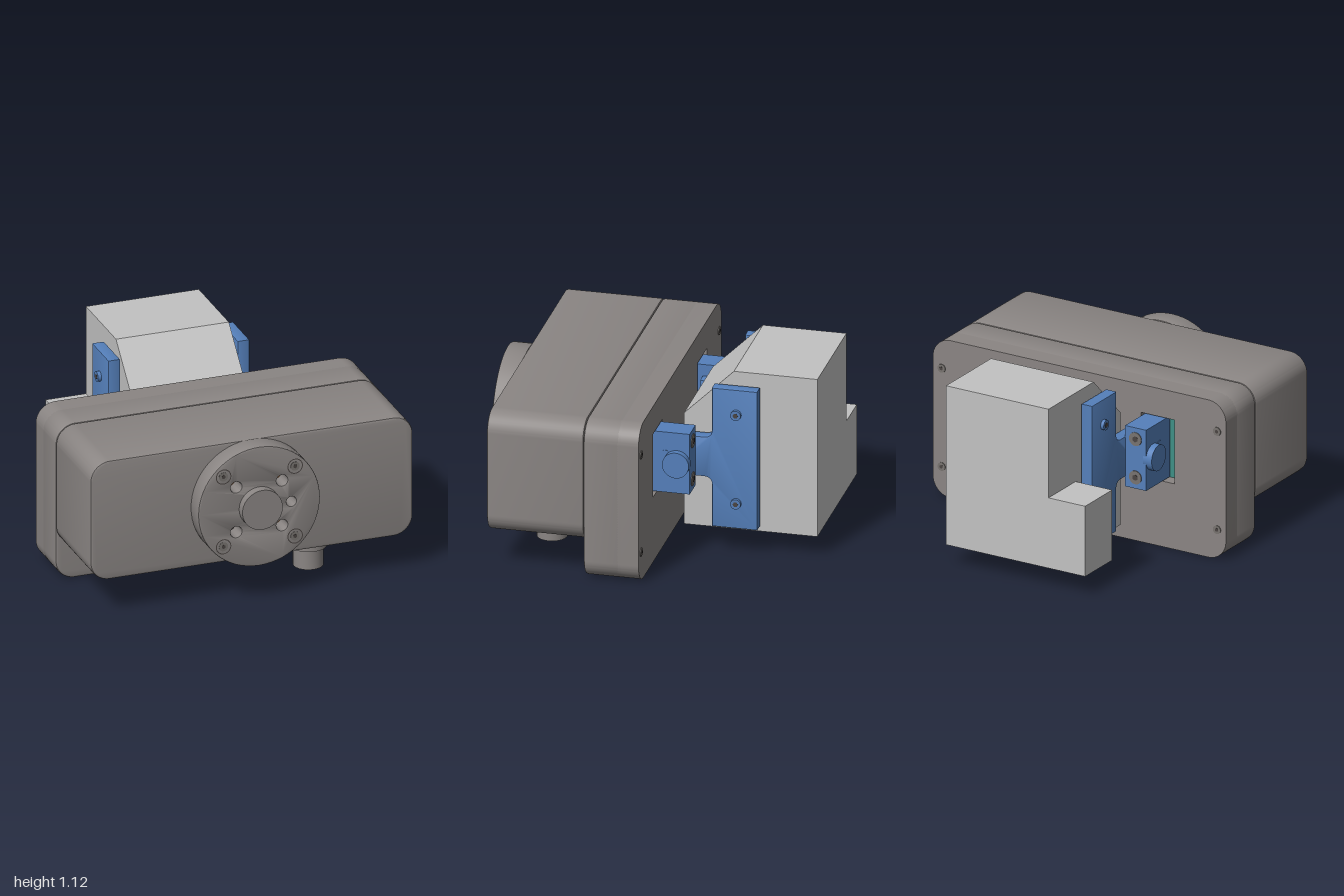
import * as THREE from 'three';
import { toCreasedNormals } from 'three/addons/utils/BufferGeometryUtils.js';

const mat = (name, color) => Object.assign(new THREE.MeshStandardMaterial({ color }), { name });
const M = {
  body: mat('warm grey housing', 0x8a8583),
  steel: mat('screw grey', 0x77736f),
  block: mat('light grey block', 0xc2c2c2),
  blue: mat('blue bracket', 0x5580bb),
  teal: mat('teal circuit', 0x3d8f86),
  orange: mat('copper', 0xc07434),
  dark: mat('dark bore', 0x4a4442),
};

export function createModel() {
  const root = new THREE.Group();
  root.name = 'actuatorAssembly';
  const add = (name, geo, material, x = 0, y = 0, z = 0) => {
    const m = new THREE.Mesh(geo, material);
    m.name = name;
    m.position.set(x, y, z);
    root.add(m);
    return m;
  };

  // Extrusion along z from z0 to z1 with a small bevel
  const extrude = (shape, z0, z1, bevel = 0, curveSegments = 12) => {
    const g = new THREE.ExtrudeGeometry(shape, {
      depth: z1 - z0 - 2 * bevel, curveSegments, bevelEnabled: bevel > 0,
      bevelSize: bevel, bevelThickness: bevel, bevelOffset: -bevel, bevelSegments: 2,
    });
    g.translate(0, 0, z0 + bevel);
    return toCreasedNormals(g, 0.6);
  };
  // Profile in (-z, y), extruded along x from x0 to x1
  const extrudeX = (pts, x0, x1, bevel = 0) => {
    const shape = pts instanceof THREE.Shape ? pts : new THREE.Shape(pts.map(p => new THREE.Vector2(...p)));
    return extrude(shape, x0, x1, bevel).rotateY(Math.PI / 2);
  };
  const roundedRect = (x0, y0, x1, y1, r) => {
    const s = new THREE.Shape();
    s.absarc(x1 - r, y0 + r, r, -Math.PI / 2, 0);
    s.absarc(x1 - r, y1 - r, r, 0, Math.PI / 2);
    s.absarc(x0 + r, y1 - r, r, Math.PI / 2, Math.PI);
    s.absarc(x0 + r, y0 + r, r, Math.PI, Math.PI * 1.5);
    s.closePath();
    return s;
  };
  const circleHole = (x, y, r) => new THREE.Path().absarc(x, y, r, 0, Math.PI * 2, true);
  const rectHole = (x0, y0, x1, y1) => new THREE.Path([[x0, y0], [x0, y1], [x1, y1], [x1, y0]]
    .map(p => new THREE.Vector2(...p))).closePath();
  // Cylinder centred on the origin along the given axis
  const cyl = (r, len, axis = 'y', seg = 32) => {
    const g = new THREE.CylinderGeometry(r, r, len, seg);
    if (axis === 'x') g.rotateZ(Math.PI / 2);
    if (axis === 'z') g.rotateX(Math.PI / 2);
    return g;
  };
  const box = (x0, x1, y0, y1, z0, z1) =>
    new THREE.BoxGeometry(x1 - x0, y1 - y0, z1 - z0).translate((x0 + x1) / 2, (y0 + y1) / 2, (z0 + z1) / 2);
  // Ring with a dark socket, laid on a face whose outward axis is x or z
  const screw = (name, x, y, z, axis, sign, r, material) => {
    const off = axis === 'x' ? [sign * 0.004, 0] : [0, sign * 0.004];
    add(name, cyl(r, 0.008, axis, 24), material, x, y, z);
    add(name + 'Socket', cyl(r * 0.45, 0.004, axis, 6), M.dark, x + off[0], y, z + off[1]);
  };

  // Housing: front case, and rear plate with two windows
  add('frontCase', extrude(roundedRect(-1, 0.23, 1, 0.985, 0.12), 0.24, 0.82, 0.014), M.body);
  const rear = roundedRect(-1, 0, 1, 0.985, 0.12);
  for (const s of [-1, 1]) {
    rear.holes.push(rectHole(Math.min(s * 0.42, s * 0.65), 0.41, Math.max(s * 0.42, s * 0.65), 0.81));
  }
  add('rearPlate', extrude(rear, -0.09, 0.02), M.body);
  add('rearPlateRim', extrude(roundedRect(-1, 0, 1, 0.985, 0.12), 0.02, 0.24, 0.014), M.body);
  add('rearPlateJoint', extrude(roundedRect(-1, 0, 1, 0.985, 0.12), 0.018, 0.04), M.body);
  for (const x of [-0.94, 0.94]) for (const y of [0.185, 0.8]) {
    screw('rearScrew', x, y, -0.091, 'z', -1, 0.026, M.steel);
  }

  // Output flange with open bolt holes
  const cy = 0.61;
  const disc = new THREE.Shape().absarc(0, cy, 0.378, 0, Math.PI * 2);
  const corners = [[-1, -1], [1, -1], [-1, 1], [1, 1]];
  for (const [a, b] of corners) disc.holes.push(circleHole(a * 0.142, cy + b * 0.142, 0.034));
  disc.holes.push(circleHole(0.2, cy, 0.03));
  add('flange', extrude(disc, 0.815, 0.945, 0.008, 32), M.body);
  add('flangeHub', cyl(0.125, 0.07, 'z', 48), M.body, 0, cy, 0.965);
  for (const [a, b] of corners) {
    const floor = a < 0 && b < 0 ? M.dark : M.orange;
    add('boltHoleFloor', cyl(0.036, 0.006, 'z', 24), floor, a * 0.142, cy + b * 0.142, 0.83);
    const x = a * 0.222, y = cy + b * 0.222;
    add('flangeScrewRing', new THREE.RingGeometry(0.042, 0.048, 32), M.dark, x, y, 0.9465);
    screw('flangeScrew', x, y, 0.943, 'z', 1, 0.028, M.steel);
  }

  // Cable connector under the case
  add('connectorPanel', box(0.2, 0.7, 0.2, 0.24, 0.39, 0.74), M.body);
  const profile = [[0.0, 0.1], [0.04, 0.1], [0.04, 0.018], [0.09, 0.018], [0.09, 0.14], [0.11, 0.14], [0.11, 0.21]];
  const connector = new THREE.LatheGeometry(profile.map(p => new THREE.Vector2(...p)), 32);
  const sleeve = add('connector', toCreasedNormals(connector, 0.6), M.body, 0.445, 0, 0.565);
  sleeve.material.side = THREE.DoubleSide;

  // Carried block: outer legs, notched middle and a side step
  const full = [[0.2, 0.13], [1, 0.13], [1, 1.125], [0.5, 1.125], [0.2, 0.83]];
  const notched = [[0.2, 0.48], [0.71, 0.48], [0.71, 0.13], ...full.slice(1)];
  add('blockLeftLeg', extrudeX(full, 0.115, 0.35), M.block);
  add('blockRightLeg', extrudeX(full, -0.35, -0.12), M.block);
  add('blockMiddle', extrudeX(notched, -0.12, 0.115), M.block);
  add('blockSideStep', box(-0.6, -0.35, 0.13, 0.57, -1, -0.7), M.block);

  // T-shaped side plate with filleted neck
  const tee = new THREE.Shape();
  tee.moveTo(0.12, 0.48);
  tee.lineTo(0.34, 0.48);
  tee.quadraticCurveTo(0.39, 0.48, 0.39, 0.43);
  tee.lineTo(0.39, 0.17);
  tee.lineTo(0.66, 0.17);
  tee.lineTo(0.66, 1.045);
  tee.lineTo(0.39, 1.045);
  tee.lineTo(0.39, 0.78);
  tee.quadraticCurveTo(0.39, 0.73, 0.34, 0.73);
  tee.lineTo(0.12, 0.73);
  tee.closePath();

  // Parts repeated on both sides
  for (const s of [-1, 1]) {
    const span = (a, b) => (s > 0 ? [a, b] : [-b, -a]);
    add('sidePlate', extrudeX(tee, ...span(0.364, 0.438), 0.006), M.blue);
    add('plateSpacer', cyl(0.095, 0.03, 'x'), M.block, s * 0.355, 0.61, -0.535);
    for (const y of [0.33, 0.89]) {
      add('plateScrew', cyl(0.031, 0.024, 'x', 24), M.blue, s * 0.447, y, -0.535);
      add('plateScrewSocket', cyl(0.016, 0.004, 'x', 6), M.dark, s * 0.459, y, -0.535);
    }

    // Hinge block, pin and fasteners
    add('hingeBlock', box(...span(0.436, 0.58), 0.42, 0.8, -0.292, -0.03), M.blue);
    add('hingePin', cyl(0.08, 0.06, 'x'), M.blue, s * 0.59, 0.61, -0.216);
    for (const y of [0.555, 0.665]) add('dowel', cyl(0.022, 0.006, 'x', 20), M.blue, s * 0.58, y, -0.145);
    for (const y of [0.49, 0.73]) screw('hingeScrew', s * 0.508, y, -0.293, 'z', -1, 0.042, M.steel);

    // Circuit seen inside the window
    add('circuitBoard', box(...span(0.42, 0.65), 0.41, 0.81, -0.01, 0.03), M.teal);
    add('circuitContact', box(...span(0.635, 0.645), 0.44, 0.78, -0.016, -0.009), M.orange);
  }
  return root;
}
